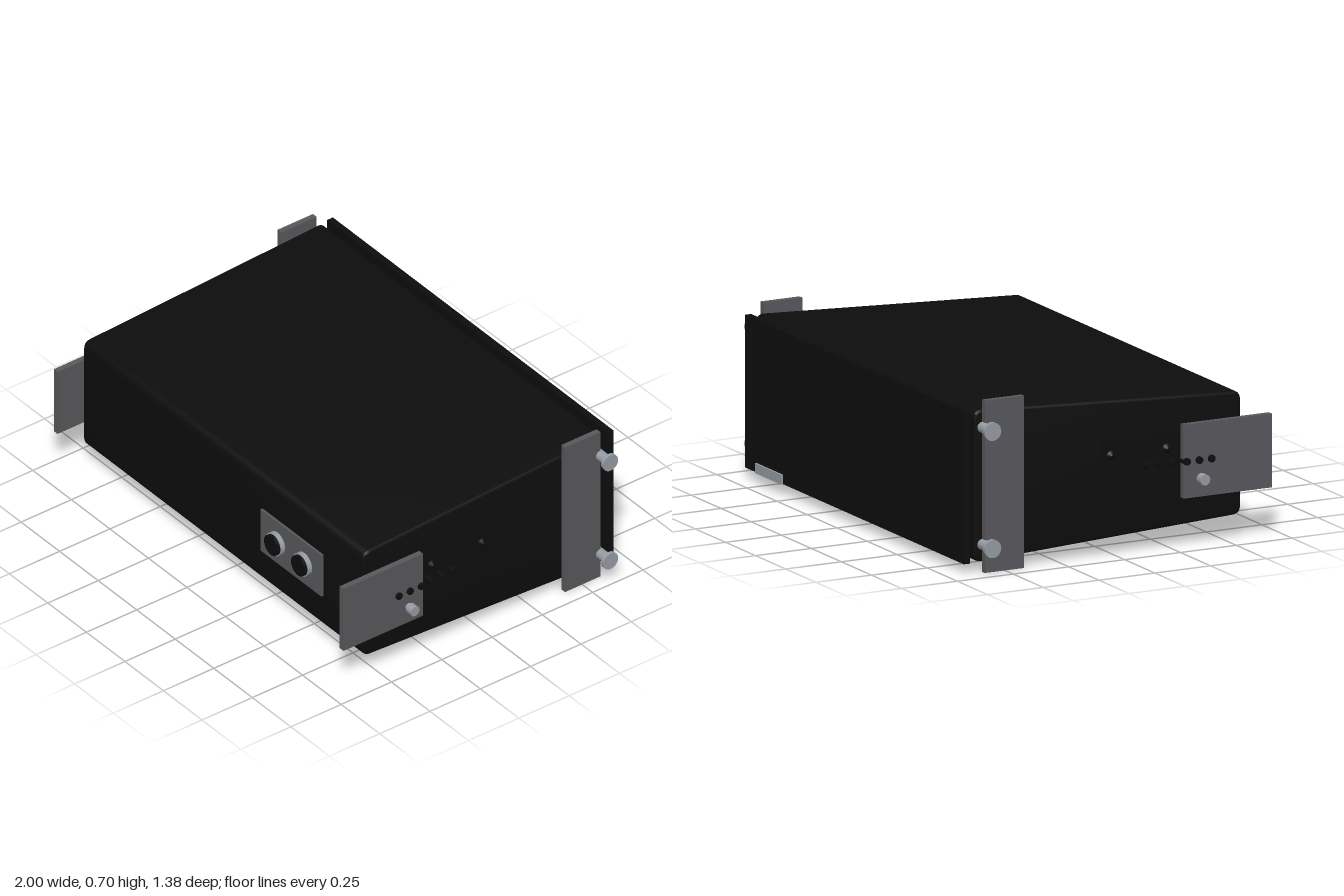
import * as THREE from 'three';
import { toCreasedNormals } from 'three/addons/utils/BufferGeometryUtils.js';

const mat = (name, color) => {
  const m = new THREE.MeshStandardMaterial({ color });
  m.name = name;
  return m;
};

export function createModel() {
  const model = new THREE.Group();
  model.name = 'equipmentCase';
  const black = mat('black', 0x0d0d0d);
  const grey = mat('bracket grey', 0x58585c);
  const metal = mat('light metal', 0x959ba2);

  const add = (name, geometry, material, parent = model) => {
    const mesh = new THREE.Mesh(geometry, material);
    mesh.name = name;
    parent.add(mesh);
    return mesh;
  };
  // Box given by its extents on each axis
  const box = (name, material, [x0, x1], [y0, y1], [z0, z1], parent) => {
    const mesh = add(name, new THREE.BoxGeometry(Math.abs(x1 - x0), y1 - y0, z1 - z0), material, parent);
    mesh.position.set((x0 + x1) / 2, (y0 + y1) / 2, (z0 + z1) / 2);
    return mesh;
  };
  // Cylinder along x between two distances from the centre, on side s
  const pin = (name, material, s, r, x0, x1, y, z, parent, rTip = r) => {
    const geo = new THREE.CylinderGeometry(rTip, r, x1 - x0, 24).rotateZ(-s * Math.PI / 2);
    const mesh = add(name, geo, material, parent);
    mesh.position.set(s * (x0 + x1) / 2, y, z);
  };

  // Tapered body: rounded side profile swept across the width
  const corners = [[-0.57, 0.10], [0.625, 0.04], [0.625, 0.66], [-0.57, 0.60]]
    .map(([x, y]) => new THREE.Vector2(x, y));
  const profile = new THREE.Shape();
  corners.forEach((c, i) => {
    const prev = corners[(i + 3) % 4], next = corners[(i + 1) % 4];
    const a = c.clone().add(prev.clone().sub(c).setLength(0.035));
    const b = c.clone().add(next.clone().sub(c).setLength(0.035));
    if (i === 0) profile.moveTo(a.x, a.y);
    else profile.lineTo(a.x, a.y);
    profile.quadraticCurveTo(c.x, c.y, b.x, b.y);
  });
  profile.closePath();
  const bevel = 0.012;
  const bodyGeo = new THREE.ExtrudeGeometry(profile, {
    depth: 1.82 - 2 * bevel, curveSegments: 8,
    bevelEnabled: true, bevelSize: bevel, bevelThickness: bevel, bevelOffset: -bevel, bevelSegments: 3,
  });
  bodyGeo.translate(0, 0, -0.91 + bevel).rotateY(Math.PI / 2);
  add('body', toCreasedNormals(bodyGeo, 0.6), black);

  // Rear cover: frame, two recessed panels and a centre strip
  const cover = new THREE.Group();
  cover.name = 'rearCover';
  model.add(cover);
  const rect = (Type, x0, x1, y0, y1) => new Type([[x0, y0], [x1, y0], [x1, y1], [x0, y1]]
    .map(([x, y]) => new THREE.Vector2(x, y)));
  const frame = rect(THREE.Shape, -0.91, 0.91, 0.04, 0.66);
  frame.holes.push(rect(THREE.Path, -0.87, 0.87, 0.085, 0.615));
  const frameGeo = new THREE.ExtrudeGeometry(frame, { depth: 0.028, bevelEnabled: false });
  add('coverFrame', frameGeo, black, cover).position.z = -0.672;
  for (const s of [-1, 1]) {
    box('coverPanel', black, [s * 0.003, s * 0.87], [0.085, 0.615], [-0.665, -0.646], cover);
  }
  box('coverCentreStrip', black, [-0.06, 0.06], [0.09, 0.60], [-0.648, -0.637], cover);
  box('coverHandle', metal, [0.57, 0.79], [0.045, 0.085], [-0.692, -0.684], cover);

  // Front connector panel with two sockets
  const panel = new THREE.Group();
  panel.name = 'connectorPanel';
  model.add(panel);
  box('connectorPlate', grey, [0.255, 0.65], [0.25, 0.45], [0.565, 0.58], panel);
  for (const x of [0.365, 0.54]) {
    const collar = add('socketCollar', new THREE.CylinderGeometry(0.05, 0.05, 0.022, 32).rotateX(Math.PI / 2), metal, panel);
    collar.position.set(x, 0.35, 0.589);
    const plug = add('socketCore', new THREE.CylinderGeometry(0.045, 0.045, 0.035, 32).rotateX(Math.PI / 2), black, panel);
    plug.position.set(x, 0.35, 0.595);
  }

  // Side fittings, mirrored left and right
  for (const s of [-1, 1]) {
    const side = new THREE.Group();
    side.name = s > 0 ? 'leftFittings' : 'rightFittings';
    model.add(side);
    box('sidePlate', black, [s * 0.905, s * 0.915], [0.22, 0.475], [-0.06, 0.5], side);
    box('rearBracket', grey, [s * 0.908, s * 0.932], [0, 0.70], [-0.59, -0.415], side);
    box('frontBracket', grey, [s * 0.915, s * 0.94], [0.20, 0.50], [0.297, 0.692], side);

    // Mounting screws through the rear bracket
    for (const y of [0.112, 0.588]) {
      pin('screwShaft', metal, s, 0.022, 0.908, 0.988, y, -0.59, side);
      pin('screwHead', metal, s, 0.037, 0.985, 1.0, y, -0.59, side);
    }
    // Locking knob on the front bracket
    pin('knobShaft', metal, s, 0.015, 0.935, 0.96, 0.277, 0.37, side);
    pin('knob', metal, s, 0.022, 0.952, 0.985, 0.277, 0.37, side);

    // Row of black pegs along the side plate
    for (let i = 0; i < 6; i++) {
      pin('peg', black, s, 0.015, 0.91, 0.95, 0.35, 0.42 - i * 0.0555, side);
    }
    // Small pointed studs
    for (const z of [-0.015, 0.235]) {
      pin('stud', black, s, 0.024, 0.912, 0.928, 0.405, z, side, 0.004);
    }
  }
  return model;
}
